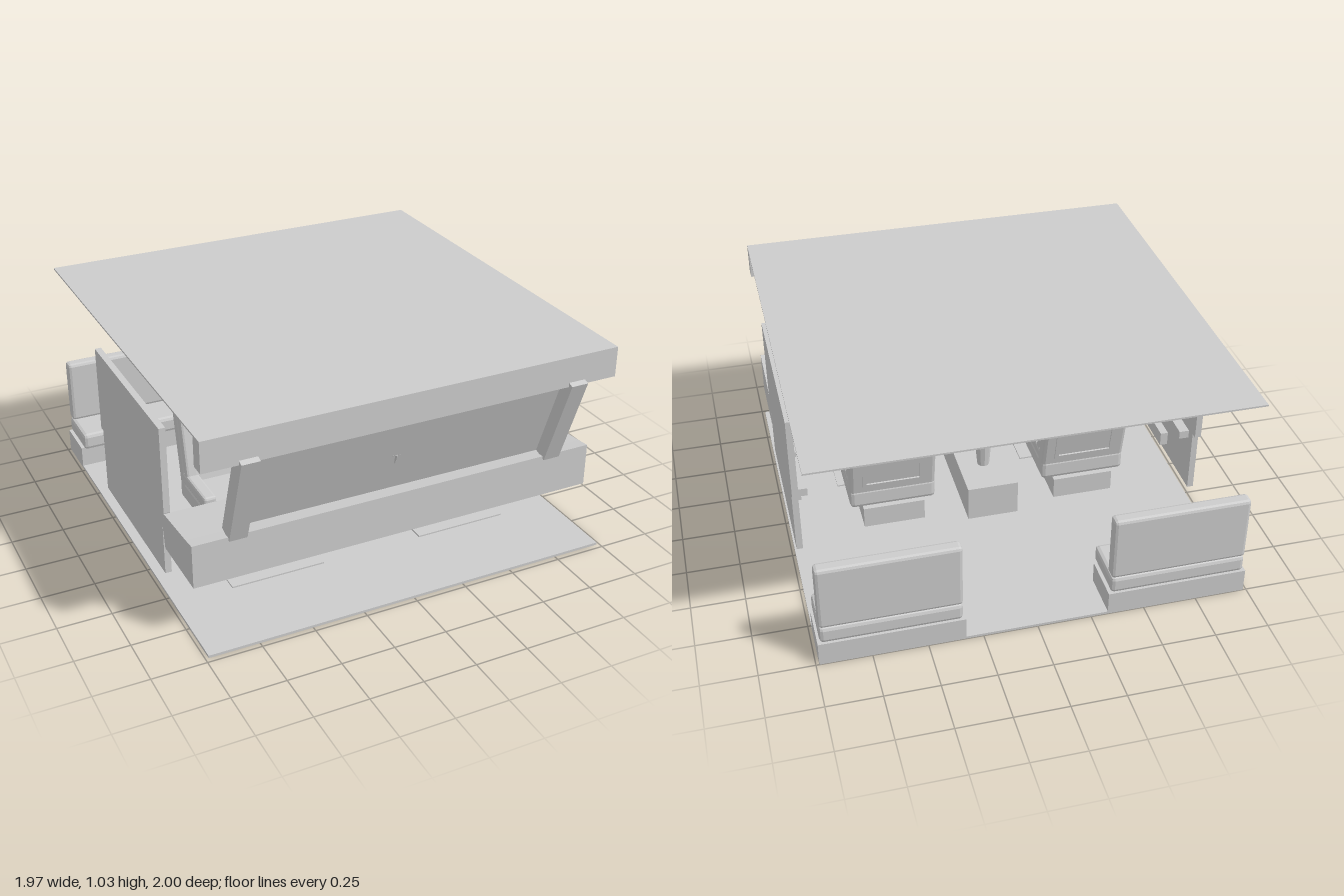
import * as THREE from 'three';
import { RoundedBoxGeometry } from 'three/addons/geometries/RoundedBoxGeometry.js';

const grey = new THREE.MeshStandardMaterial({ color: 0xcccccc, flatShading: true, side: THREE.DoubleSide });

function add(parent, name, geometry, x = 0, y = 0, z = 0) {
  const mesh = new THREE.Mesh(geometry, grey);
  mesh.name = name;
  mesh.position.set(x, y, z);
  parent.add(mesh);
  return mesh;
}

// Box given by its lower and upper corners; a bevel chamfers the edges
function box(parent, name, [x0, y0, z0], [x1, y1, z1], bevel = 0) {
  const size = [x1 - x0, y1 - y0, z1 - z0];
  const geometry = bevel ? new RoundedBoxGeometry(...size, 1, bevel) : new THREE.BoxGeometry(...size);
  return add(parent, name, geometry, (x0 + x1) / 2, (y0 + y1) / 2, (z0 + z1) / 2);
}

// Side profile of [z, y] points, extruded along x and centred on x
function profile(parent, name, points, width, x = 0) {
  const shape = new THREE.Shape(points.map(([z, y]) => new THREE.Vector2(z, y)));
  const geometry = new THREE.ExtrudeGeometry(shape, { depth: width, bevelEnabled: false });
  geometry.translate(0, 0, -width / 2).rotateY(-Math.PI / 2);
  return add(parent, name, geometry, x);
}

function group(parent, name, x = 0, y = 0, z = 0) {
  const g = new THREE.Group();
  g.name = name;
  g.position.set(x, y, z);
  parent.add(g);
  return g;
}

function frontSeat(parent, x) {
  const seat = group(parent, 'frontSeat', x);
  box(seat, 'seatBase', [-0.15, 0.01, -0.135], [0.15, 0.12, 0.165]);
  box(seat, 'seatCushion', [-0.21, 0.12, -0.12], [0.21, 0.225, 0.22], 0.02);
  const back = group(seat, 'seatBack', 0, 0.18, -0.06);
  back.rotation.x = -0.21;
  box(back, 'backrest', [-0.21, 0, -0.05], [0.21, 0.47, 0.03], 0.018);
  // Raised frame around the pocket on the rear face
  const frame = new THREE.Shape([[-0.15, 0.08], [0.15, 0.08], [0.15, 0.38], [-0.15, 0.38]].map(p => new THREE.Vector2(...p)));
  frame.holes.push(new THREE.Path([[-0.13, 0.1], [-0.13, 0.36], [0.13, 0.36], [0.13, 0.1]].map(p => new THREE.Vector2(...p))));
  add(back, 'rearPocketFrame', new THREE.ExtrudeGeometry(frame, { depth: 0.012, bevelEnabled: false }), 0, 0, -0.058);
  for (const s of [-1, 1]) {
    const bx = s * 0.18;
    box(seat, 'cushionBolster', [bx - 0.032, 0.215, -0.08], [bx + 0.032, 0.275, 0.21], 0.012);
    box(back, 'backBolster', [bx - 0.03, 0.05, 0.02], [bx + 0.03, 0.45, 0.065], 0.012);
  }
}

function rearSeat(parent, s) {
  const seat = group(parent, 'rearSeat', s * 0.657);
  box(seat, 'rearSeatBase', [-0.328, 0.01, -1], [0.328, 0.115, -0.78]);
  box(seat, 'rearCushion', [-0.318, 0.115, -0.997], [0.318, 0.2, -0.75], 0.018);
  box(seat, 'rearBackrest', [-0.318, 0.2, -0.997], [0.318, 0.52, -0.932], 0.015);
}

function door(parent, s) {
  const d = group(parent, 'door');
  profile(d, 'doorPanel', [[0.495, 0.855], [-0.375, 0.855], [-0.375, 0.435], [-0.345, 0.435],
    [-0.345, 0.115], [0.47, 0.115], [0.47, 0.37], [0.495, 0.44]], 0.03, s * 0.97);
  const inner = (name, y0, y1, z0, z1, depth) => {
    const a = s * 0.957, b = s * (0.957 - depth);
    box(d, name, [Math.min(a, b), y0, z0], [Math.max(a, b), y1, z1]);
  };
  inner('doorArmrest', 0.385, 0.425, -0.3, 0.22, 0.05);
  inner('doorHandle', 0.48, 0.505, -0.12, 0.16, 0.03);
  inner('doorPocket', 0.17, 0.24, -0.05, 0.3, 0.04);
}

export function createModel() {
  const model = new THREE.Group();
  model.name = 'vehicleCabin';

  // Floor, roof and windscreen header
  box(model, 'floor', [-0.985, 0, -1], [0.985, 0.012, 0.975]);
  box(model, 'roof', [-0.985, 1.026, -1], [0.985, 1.034, 0.975]);
  box(model, 'header', [-0.985, 0.89, 0.907], [0.985, 1.034, 0.975]);

  // Leaning windscreen between its pillars
  const screen = group(model, 'windscreen', 0, 0.69, 0.882);
  screen.rotation.x = 0.345;
  add(screen, 'glass', new THREE.PlaneGeometry(1.56, 0.47), 0, -0.005, -0.028);
  for (const s of [-1, 1]) add(screen, 'pillar', new THREE.BoxGeometry(0.083, 0.478, 0.08), s * 0.78, 0, 0);

  // Dashboard and instrument hood
  profile(model, 'dashboard', [[0.83, 0.26], [0.83, 0.468], [0.76, 0.46], [0.495, 0.437],
    [0.47, 0.37], [0.49, 0.26]], 1.97);
  profile(model, 'instrumentHood', [[0.63, 0.44], [0.63, 0.515], [0.615, 0.525], [0.5, 0.525], [0.5, 0.43]], 0.36, 0.48);

  // Centre console with cup
  box(model, 'consoleStack', [-0.145, 0.19, 0.4], [0.145, 0.4, 0.492]);
  box(model, 'centreConsole', [-0.125, 0.01, -0.2], [0.125, 0.19, 0.47]);
  add(model, 'cup', new THREE.CylinderGeometry(0.042, 0.03, 0.15, 10), 0, 0.265, 0);
  add(model, 'cupLid', new THREE.CylinderGeometry(0.046, 0.046, 0.014, 10), 0, 0.345, 0);
  const straw = add(model, 'straw', new THREE.CylinderGeometry(0.006, 0.006, 0.09, 6), 0.008, 0.39, 0);
  straw.rotation.z = -0.2;

  // Steering wheel
  const wheel = group(model, 'steeringWheel', 0.48, 0.45, 0.4);
  wheel.rotation.x = 0.35;
  add(wheel, 'wheelRim', new THREE.TorusGeometry(0.11, 0.013, 6, 20));
  add(wheel, 'wheelHub', new THREE.CylinderGeometry(0.03, 0.035, 0.03, 10)).rotation.x = Math.PI / 2;
  add(wheel, 'steeringColumn', new THREE.CylinderGeometry(0.018, 0.018, 0.12, 8), 0, 0, 0.06).rotation.x = Math.PI / 2;
  for (const a of [0, Math.PI, -Math.PI / 2]) {
    const spoke = add(wheel, 'wheelSpoke', new THREE.BoxGeometry(0.1, 0.02, 0.012), 0.055 * Math.cos(a), 0.055 * Math.sin(a), 0);
    spoke.rotation.z = a;
  }

  // Bobbing figurine on the dashboard
  const figure = group(model, 'dashFigurine', -0.5, 0, 0.605);
  add(figure, 'figurineBody', new THREE.CylinderGeometry(0.022, 0.034, 0.085, 8), 0, 0.485, 0);
  add(figure, 'figurineNeck', new THREE.CylinderGeometry(0.007, 0.012, 0.05, 6), 0, 0.55, 0);
  add(figure, 'figurineHead', new THREE.IcosahedronGeometry(0.043, 1), 0, 0.61, 0);
  add(figure, 'figurineNose', new THREE.IcosahedronGeometry(0.012, 0), 0, 0.613, -0.042);

  // Rear-view mirror with a hanging charm
  add(model, 'mirrorStem', new THREE.CylinderGeometry(0.008, 0.006, 0.17, 6), 0, 0.945, 0.84);
  box(model, 'mirror', [-0.13, 0.8, 0.828], [0.13, 0.87, 0.852], 0.008);
  add(model, 'charmCord', new THREE.CylinderGeometry(0.003, 0.003, 0.1, 5), -0.04, 0.76, 0.84);
  box(model, 'charm', [-0.064, 0.672, 0.807], [-0.016, 0.715, 0.848], 0.005);
  add(model, 'charmTip', new THREE.ConeGeometry(0.022, 0.048, 4), -0.04, 0.65, 0.832).rotation.x = Math.PI;

  // Paired parts
  for (const s of [-1, 1]) {
    frontSeat(model, s * 0.48);
    rearSeat(model, s);
    door(model, s);
    box(model, 'floorMat', [s * 0.48 - 0.228, 0.01, 0.215], [s * 0.48 + 0.228, 0.019, 0.57]);
  }
  return model;
}
